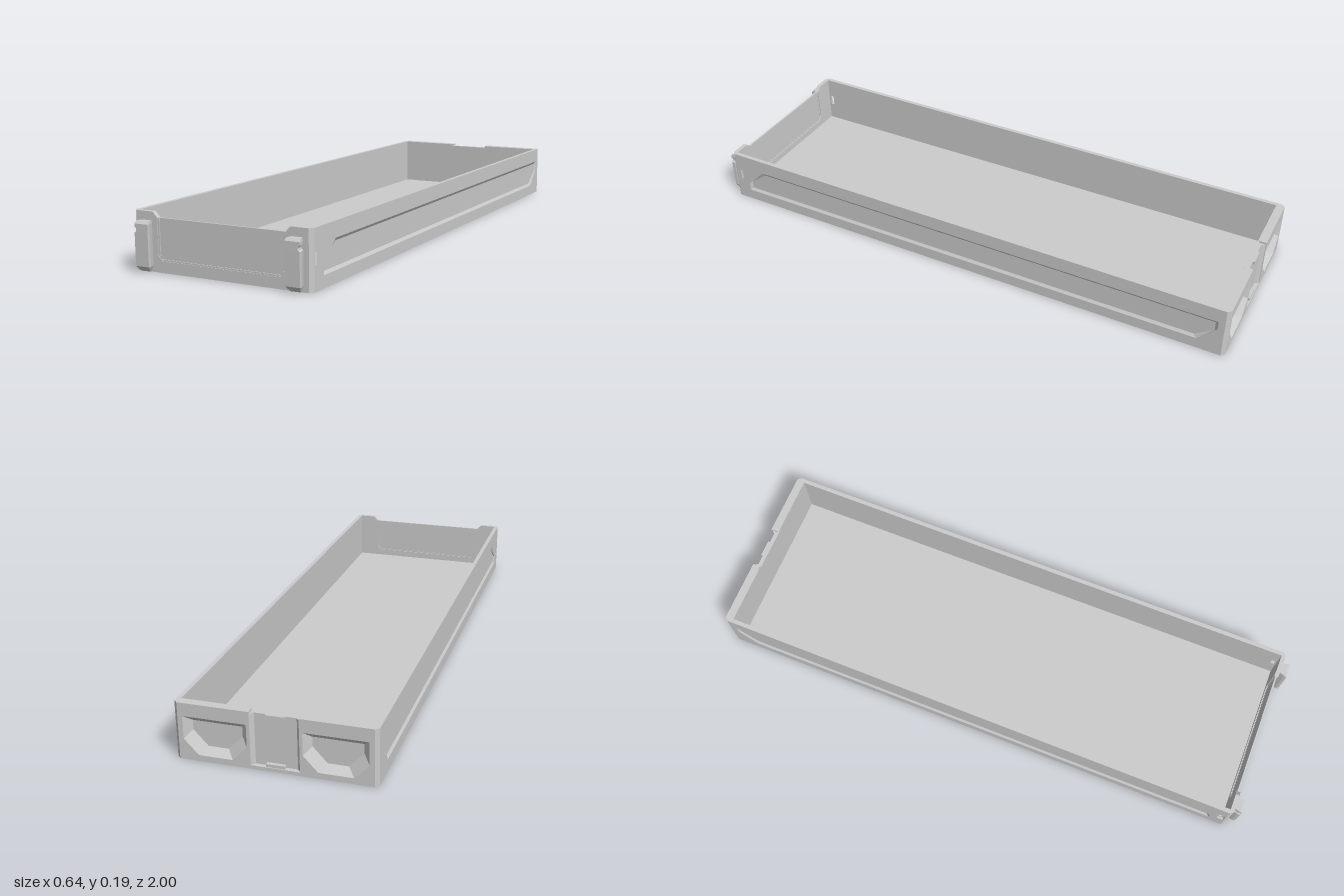
import * as THREE from 'three';

const material = new THREE.MeshStandardMaterial({ color: 0xcccccc, flatShading: true });

function add(parent, name, geometry) {
  const mesh = new THREE.Mesh(geometry, material);
  mesh.name = name;
  parent.add(mesh);
  return mesh;
}

function box(parent, name, x0, x1, y0, y1, z0, z1) {
  const g = new THREE.BoxGeometry(x1 - x0, y1 - y0, z1 - z0);
  g.translate((x0 + x1) / 2, (y0 + y1) / 2, (z0 + z1) / 2);
  return add(parent, name, g);
}

const vecs = (pts) => pts.map(([x, y]) => new THREE.Vector2(x, y));

// Flat plate in the xy plane between z0 and z1, with optional holes
function plate(pts, z0, z1, holes = []) {
  const shape = new THREE.Shape(vecs(pts));
  holes.forEach((h) => shape.holes.push(new THREE.Path(vecs(h))));
  const g = new THREE.ExtrudeGeometry(shape, { depth: z1 - z0, bevelEnabled: false });
  return g.translate(0, 0, z0);
}

// Upright prism from a plan outline given as x, z
function prism(pts, y0, y1) {
  return plate(pts.map(([x, z]) => [x, -z]), y0, y1).rotateX(-Math.PI / 2);
}

const rect = (x0, x1, y0, y1) => [[x0, y0], [x1, y0], [x1, y1], [x0, y1]];

// Skin between convex rings of equal length, closed at the end and optionally the start
function loft(rings, capStart = false) {
  const out = [];
  const n = rings[0].length;
  for (let r = 0; r + 1 < rings.length; r++) {
    for (let i = 0; i < n; i++) {
      const j = (i + 1) % n;
      const [a, b, c, d] = [rings[r][i], rings[r][j], rings[r + 1][j], rings[r + 1][i]];
      out.push(...a, ...b, ...c, ...a, ...c, ...d);
    }
  }
  const end = rings[rings.length - 1];
  for (let i = 1; i + 1 < n; i++) {
    out.push(...end[0], ...end[i], ...end[i + 1]);
    if (capStart) out.push(...rings[0][0], ...rings[0][i + 1], ...rings[0][i]);
  }
  const g = new THREE.BufferGeometry();
  g.setAttribute('position', new THREE.Float32BufferAttribute(out, 3));
  g.computeVertexNormals();
  return g;
}

// Sloped recess facing +z that narrows by inset on the way in
function recess(pts, inset, zOuter, zInner) {
  const p = THREE.ShapeUtils.isClockWise(vecs(pts)) ? [...pts].reverse() : pts;
  const mid = (k) => (Math.min(...p.map((q) => q[k])) + Math.max(...p.map((q) => q[k]))) / 2;
  const [cx, cy] = [mid(0), mid(1)];
  const inner = p.map(([x, y]) => [x - Math.sign(x - cx) * inset, y - Math.sign(y - cy) * inset, zInner]);
  return loft([p.map(([x, y]) => [x, y, zOuter]), inner]);
}

const W = 0.32, H = 0.19, FRONT = 0.97, C = 0.012, FLOOR = 0.012;

function sideWall(s) {
  const g = new THREE.Group();
  g.name = s > 0 ? 'leftWall' : 'rightWall';
  const toU = (pts) => pts.map(([z, y]) => [-s * z, y]);
  const outline = toU(rect(-1 + C, FRONT - C, FLOOR, H));
  const panel = toU([[0.905, 0.04], [0.905, 0.07], [0.835, 0.138], [-0.965, 0.138], [-0.965, 0.105], [-0.9, 0.04]]);
  const slot = toU(rect(0.93, 0.953, 0.07, 0.123));
  const slotInner = toU(rect(0.935, 0.948, 0.077, 0.116));
  add(g, 'outerSkin', plate(outline, W - 0.007, W, [panel, slot]));
  add(g, 'innerSkin', plate(outline, W - 0.015, W - 0.007, [slotInner]));
  add(g, 'sidePanelRecess', recess(panel, 0.01, W, W - 0.0065));
  g.rotation.y = s * Math.PI / 2;
  return g;
}

function frontWall() {
  const g = new THREE.Group();
  g.name = 'frontWall';
  const half = [[0.308, FLOOR], [0.308, H], [0.247, H], [0.23, 0.172], [0.23, 0.053], [0.213, 0.037]];
  const mirrored = half.map(([x, y]) => [-x, y]).reverse();
  add(g, 'frontFrame', plate([...half, ...mirrored], 0.955, FRONT));
  box(g, 'frontPanel', -0.23, 0.23, 0.03, 0.172, 0.959, 0.965);
  for (const s of [-1, 1]) {
    const x = s * 0.227;
    box(g, 'panelSideRail', x - 0.003, x + 0.003, 0.053, 0.172, 0.958, 0.968);
    add(g, 'panelGusset', plate([[s * 0.23, 0.053], [s * 0.213, 0.053], [s * 0.213, 0.037]], 0.96, 0.968));
  }
  for (let i = 0; i < 4; i++) {
    const x = -0.21 + i * 0.1055;
    box(g, 'panelBottomRail', x, x + 0.1035, 0.037, 0.042, 0.958, 0.968);
  }
  return g;
}

// Dovetail bar with a tapered foot and a finger notch on its outer edge
function frontBar(s) {
  // y, half width, depth, notch
  const sections = [
    [0.003, 0.017, 0.014, 0], [0.02, 0.025, 0.029, 0], [0.125, 0.025, 0.03, 0],
    [0.129, 0.025, 0.03, 0.005], [0.135, 0.025, 0.03, 0.0065], [0.14, 0.025, 0.03, 0.005],
    [0.144, 0.025, 0.03, 0], [0.154, 0.025, 0.03, 0], [0.162, 0.023, 0.023, 0],
  ];
  const rings = sections.map(([y, w, d, notch]) => {
    const l = -w + (s < 0 ? notch : 0);
    const r = w - (s > 0 ? notch : 0);
    const z = FRONT + d;
    const wide = FRONT + d * 0.65;
    return [[l, y, z], [r, y, z], [r, y, wide], [r - 0.006, y, FRONT - 0.002],
      [l + 0.006, y, FRONT - 0.002], [l, y, wide]];
  });
  return loft(rings, true).translate(s * 0.27, 0, 0);
}

function backWall() {
  const g = new THREE.Group();
  g.name = 'backWall';
  const notch = [[-0.308, FLOOR], [0.308, FLOOR], [0.308, H], [0.09, H], [0.075, 0.183], [-0.075, 0.183], [-0.09, H], [-0.308, H]];
  add(g, 'innerSkin', plate(notch, 0.97, 0.974));
  for (const s of [-1, 1]) {
    const pocket = [[0.088, 0.146], [0.088, 0.07], [0.135, 0.02], [0.245, 0.02], [0.292, 0.07], [0.292, 0.146]]
      .map(([x, y]) => [s * x, y]);
    const outline = [[0.078, FLOOR], [0.308, FLOOR], [0.308, H], [0.078, H]].map(([x, y]) => [s * x, y]);
    add(g, 'pocketFrame', plate(outline, 0.974, 1, [pocket]));
    add(g, 'pocket', recess(pocket, 0.022, 1, 0.975));
    // Sloped edge between the pocket frame and the middle panel
    add(g, 'middleEdge', prism([[s * 0.078, 0.984], [s * 0.066, 0.984], [s * 0.078, 0.998]], FLOOR, 0.183));
  }
  box(g, 'middlePanel', -0.078, 0.078, FLOOR, 0.183, 0.974, 0.985);
  box(g, 'upperTab', -0.03, 0.03, 0.172, 0.183, 0.985, 0.992);
  box(g, 'lowerTab', -0.03, 0.03, FLOOR, 0.022, 0.985, 0.997);
  g.rotation.y = Math.PI;
  return g;
}

export function createModel() {
  const model = new THREE.Group();
  model.name = 'tray';

  // Floor with clipped corners
  add(model, 'floor', prism([
    [-W, -1 + C], [-W + C, -1], [W - C, -1], [W, -1 + C],
    [W, FRONT - C], [W - C, FRONT], [-W + C, FRONT], [-W, FRONT - C],
  ], 0, FLOOR));

  model.add(frontWall(), backWall());
  for (const s of [-1, 1]) {
    model.add(sideWall(s));
    add(model, s > 0 ? 'leftFrontBar' : 'rightFrontBar', frontBar(s));
    // Clipped corner posts
    for (const [z, out] of [[FRONT - C, C], [-1 + C, -C]]) {
      add(model, 'cornerPost', prism([[s * (W - C), z], [s * W, z], [s * (W - C), z + out]], FLOOR, H));
    }
  }
  return model;
}
